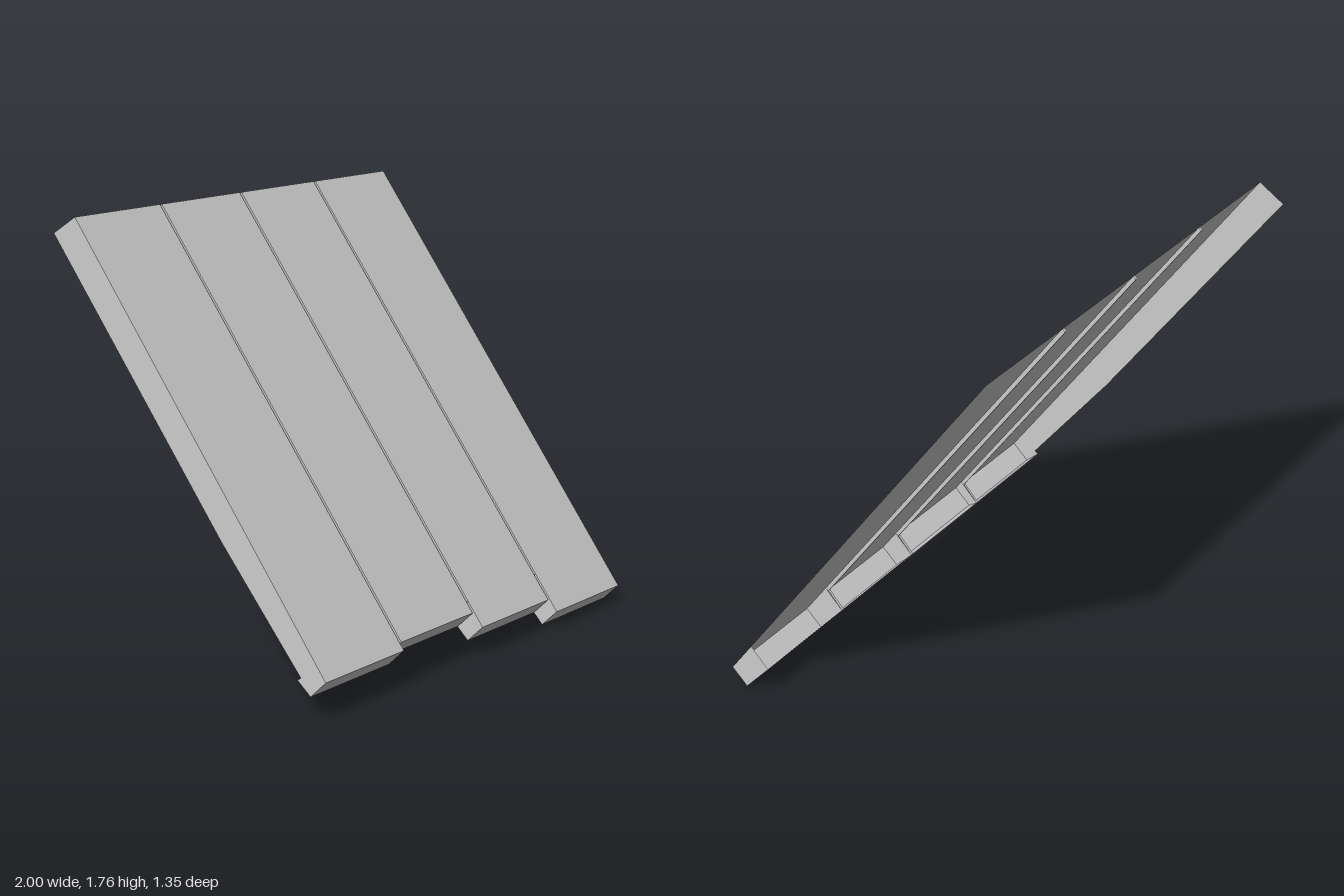
import * as THREE from 'three';

const material = new THREE.MeshStandardMaterial({ color: 0xcccccc, side: THREE.DoubleSide, flatShading: true });

// Side-profile points are [z, y].
const TOP = [-0.565, 1.76];
const slopeY = (z) => 1.76 - (z + 0.565) * 1.363;
const SEAM_FRONT = [0.57, slopeY(0.57)];
const POCKET_BACK = [0.49, 0.13];

// Folded sheet: a [z, y] path swept from x0 to x1
function sheet(name, path, x0, x1) {
  const pos = [];
  for (let i = 0; i < path.length - 1; i++) {
    const [za, ya] = path[i], [zb, yb] = path[i + 1];
    pos.push(x0, ya, za, x0, yb, zb, x1, yb, zb);
    pos.push(x0, ya, za, x1, yb, zb, x1, ya, za);
  }
  const geo = new THREE.BufferGeometry();
  geo.setAttribute('position', new THREE.Float32BufferAttribute(pos, 3));
  geo.computeVertexNormals();
  const mesh = new THREE.Mesh(geo, material);
  mesh.name = name;
  return mesh;
}

// Flat cheek: a [z, y] outline standing at a given x
function cheek(name, outline, x) {
  const geo = new THREE.ShapeGeometry(new THREE.Shape(outline.map(([z, y]) => new THREE.Vector2(z, y))));
  geo.rotateY(-Math.PI / 2);
  geo.translate(x, 0, 0);
  const mesh = new THREE.Mesh(geo, material);
  mesh.name = name;
  return mesh;
}

export function createModel() {
  const group = new THREE.Group();
  group.name = 'slopedPanel';

  // Boards: x range and z of the lower front edge
  const boards = [
    [-1, -0.507, 0.62],
    [-0.496, -0.008, 0.6],
    [0.004, 0.492, 0.64],
    [0.504, 1, 0.675],
  ];

  boards.forEach(([x0, x1, z], i) => {
    const board = new THREE.Group();
    board.name = `board${i + 1}`;
    const front = [z, slopeY(z)];
    const bottom = [z - 0.07, front[1] - 0.067];

    // Face, lower edge and the flap turned up behind it
    board.add(sheet('boardFace', [TOP, front, bottom, POCKET_BACK], x0, x1));

    // Ends of the lower fold
    const fold = [SEAM_FRONT, POCKET_BACK, bottom, front];
    board.add(cheek('foldEndLeft', fold, x1));
    if (i > 0) board.add(cheek('foldEndRight', fold, x0));
    else {
      // Full-length side wall on the outer edge
      board.add(cheek('sideWall', [TOP, [-0.675, 1.69], [0.135, 0.6], [0.505, 0.142], POCKET_BACK, bottom, front], x0));
    }
    group.add(board);
  });

  // Shallow grooves between boards, closed at the lower end
  const sink = ([z, y]) => [z - 0.013, y - 0.0095];
  for (let i = 0; i < 3; i++) {
    const x0 = boards[i][1], x1 = boards[i + 1][0];
    const groove = new THREE.Group();
    groove.name = `groove${i + 1}`;
    groove.add(sheet('grooveFloor', [sink(TOP), sink(SEAM_FRONT), POCKET_BACK], x0, x1));
    for (const x of [x0, x1]) {
      groove.add(cheek('grooveWall', [TOP, sink(TOP), sink(SEAM_FRONT), SEAM_FRONT], x));
    }
    group.add(groove);
  }

  return group;
}
